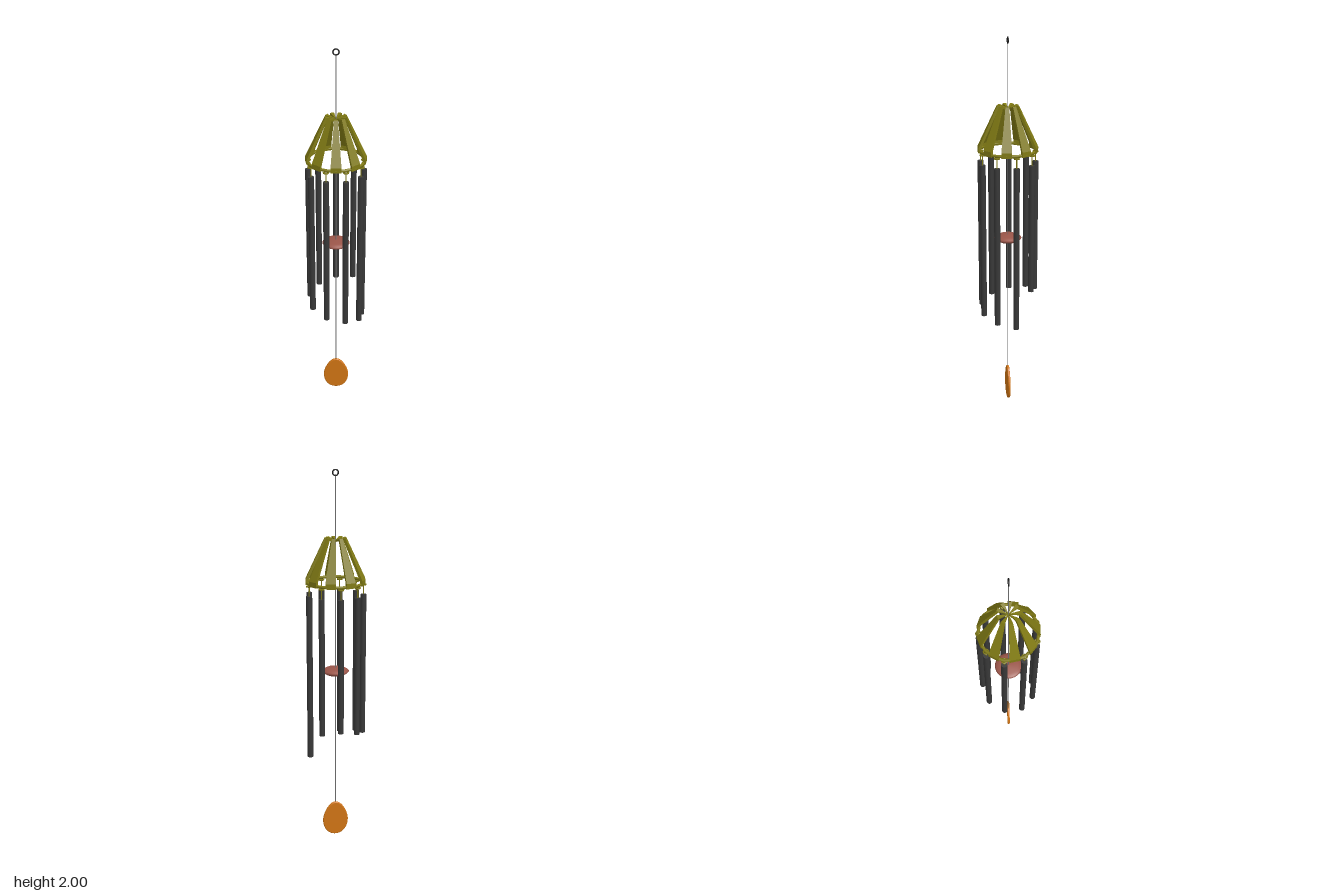
import * as THREE from 'three';

const olive = new THREE.MeshStandardMaterial({ color: 0x807a14 });
const metal = new THREE.MeshStandardMaterial({ color: 0x383838 });
const black = new THREE.MeshStandardMaterial({ color: 0x151515 });
const cordGrey = new THREE.MeshStandardMaterial({ color: 0x777777 });
const redWood = new THREE.MeshStandardMaterial({ color: 0x9a5549 });
const amber = new THREE.MeshStandardMaterial({ color: 0xcf7414 });

const COUNT = 9;
const STEP = (Math.PI * 2) / COUNT;

function add(parent, name, geometry, material, x = 0, y = 0, z = 0) {
  const mesh = new THREE.Mesh(geometry, material);
  mesh.name = name;
  mesh.position.set(x, y, z);
  parent.add(mesh);
  return mesh;
}

// Upright cylinder between two heights
function rod(parent, name, radius, y0, y1, sides, material, x = 0, z = 0) {
  return add(parent, name, new THREE.CylinderGeometry(radius, radius, y1 - y0, sides), material, x, (y0 + y1) / 2, z);
}

// Radial profile (radius, height) swept through one flat-faced sector
function sectorGeometry(profile, width) {
  const shape = new THREE.Shape(profile.map(([r, y]) => new THREE.Vector2(r, y)));
  const geometry = new THREE.ExtrudeGeometry(shape, { depth: 1, bevelEnabled: false });
  const p = geometry.attributes.position;
  for (let i = 0; i < p.count; i++) {
    const r = p.getX(i);
    const a = (0.5 - p.getZ(i)) * width;
    p.setXYZ(i, r * Math.sin(a), p.getY(i), r * Math.cos(a));
  }
  geometry.computeVertexNormals();
  return geometry;
}

function createCanopy() {
  const canopy = new THREE.Group();
  canopy.name = 'canopy';
  // Sloping slats whose tops turn in towards the cord
  const slat = sectorGeometry([
    [0.155, 1.425], [0.155, 1.452], [0.056, 1.662], [0.003, 1.65],
    [0.003, 1.64], [0.046, 1.65], [0.14, 1.452], [0.14, 1.425],
  ], STEP / 2);
  for (let i = 0; i < COUNT; i++) {
    add(canopy, 'slat', slat, olive).rotation.y = i * STEP;
  }
  // Faceted rim joining the slats
  const rim = new THREE.TorusGeometry(0.146, 0.008, 8, COUNT * 2);
  rim.rotateX(Math.PI / 2);
  rim.rotateY(STEP / 4);
  add(canopy, 'rim', rim, olive, 0, 1.433, 0);
  return canopy;
}

function createTubes() {
  const tubes = new THREE.Group();
  tubes.name = 'chimeTubes';
  const eyelet = new THREE.TorusGeometry(0.012, 0.004, 6, 14);
  eyelet.rotateX(Math.PI / 2);
  for (let i = 0; i < COUNT; i++) {
    const x = 0.144 * Math.sin(i * STEP);
    const z = -0.144 * Math.cos(i * STEP);
    // Lengths shorten step by step around the circle
    const bottom = 0.49 + 0.024 * ((i + COUNT - 2) % COUNT);
    rod(tubes, 'chimeTube', 0.0155, bottom, 1.37, 16, metal, x, z);
    rod(tubes, 'tubeCord', 0.003, 1.365, 1.43, 6, olive, x, z);
    add(tubes, 'eyelet', eyelet, olive, x, 1.421, z);
  }
  return tubes;
}

// Flat egg-shaped wind catcher with softened edges
function createSail() {
  const b = 0.006; // bevel
  const shape = new THREE.Shape();
  shape.moveTo(0, b);
  shape.bezierCurveTo(0.038, b, 0.064, 0.04, 0.064, 0.088);
  shape.bezierCurveTo(0.064, 0.125, 0.032, 0.189, 0, 0.189);
  shape.bezierCurveTo(-0.032, 0.189, -0.064, 0.125, -0.064, 0.088);
  shape.bezierCurveTo(-0.064, 0.04, -0.038, b, 0, b);
  const geometry = new THREE.ExtrudeGeometry(shape, {
    depth: 0.004, bevelThickness: 0.005, bevelSize: b, bevelSegments: 3, curveSegments: 14,
  });
  geometry.translate(0, 0, -0.002);
  return geometry;
}

export function createModel() {
  const model = new THREE.Group();
  model.name = 'windChime';

  add(model, 'hangingRing', new THREE.TorusGeometry(0.0145, 0.0035, 8, 24), black, 0, 1.982, 0);
  rod(model, 'mainCord', 0.002, 0.18, 1.968, 6, cordGrey);
  model.add(createCanopy(), createTubes());

  // Striker disc with tapered edge
  const striker = new THREE.LatheGeometry([
    [0, 0.938], [0.05, 0.941], [0.066, 0.951], [0.072, 0.957], [0.066, 0.963], [0.05, 0.972], [0, 0.975],
  ].map(([r, y]) => new THREE.Vector2(r, y)), 32);
  add(model, 'striker', striker, redWood);

  add(model, 'sail', createSail(), amber);
  return model;
}
